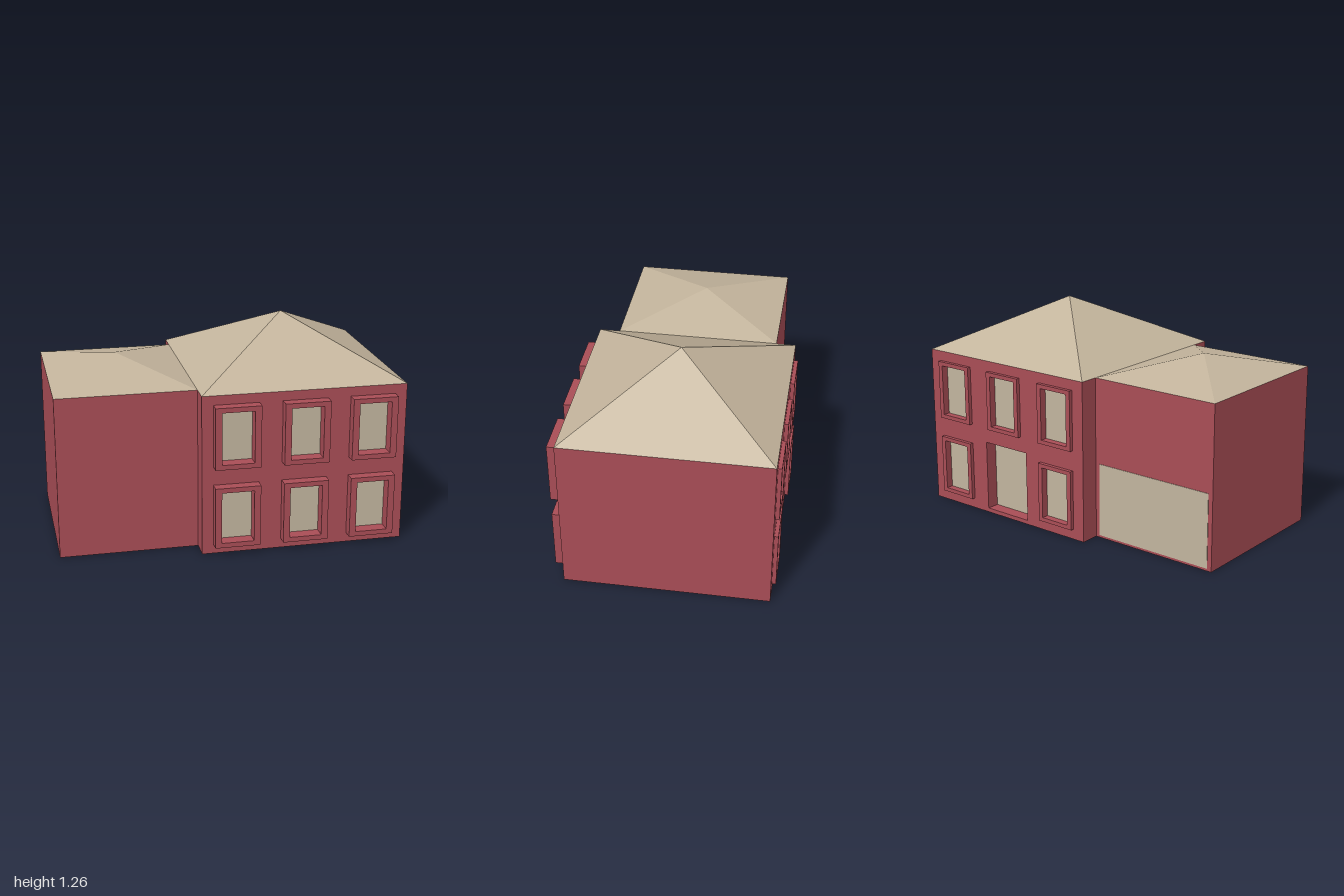
import * as THREE from 'three';

export function createModel() {
  const house = new THREE.Group();
  house.name = 'house';

  const material = (name, color) => {
    const m = new THREE.MeshStandardMaterial({ color });
    m.name = name;
    return m;
  };
  const wallRed = material('wall red', 0xa94d56);
  const roofTan = material('roof tan', 0xc3b49c);
  const paneBeige = material('pane beige', 0xc2b59e);

  const add = (name, geometry, mat) => {
    const mesh = new THREE.Mesh(geometry, mat);
    mesh.name = name;
    house.add(mesh);
    return mesh;
  };

  // Box given by its limits on each axis
  const box = (name, mat, x0, x1, y0, y1, z0, z1) => {
    const g = new THREE.BoxGeometry(x1 - x0, y1 - y0, z1 - z0);
    g.translate((x0 + x1) / 2, (y0 + y1) / 2, (z0 + z1) / 2);
    return add(name, g, mat);
  };

  // Upright slab with rectangular holes; rectangles are [x0, x1, y0, y1]
  const corners = ([x0, x1, y0, y1]) =>
    [[x0, y0], [x1, y0], [x1, y1], [x0, y1]].map(([x, y]) => new THREE.Vector2(x, y));
  const slab = (name, outer, holes, z0, z1) => {
    const shape = new THREE.Shape(corners(outer));
    for (const h of holes) shape.holes.push(new THREE.Path(corners(h).reverse()));
    const g = new THREE.ExtrudeGeometry(shape, { depth: z1 - z0, bevelEnabled: false });
    g.translate(0, 0, z0);
    return add(name, g, wallRed);
  };

  // Four-sided roof over a rectangle
  const roof = (name, x0, x1, z0, z1, y0, y1) => {
    let g = new THREE.ConeGeometry(Math.SQRT1_2, 1, 4, 1, true);
    g.rotateY(Math.PI / 4);
    g.scale(x1 - x0, y1 - y0, z1 - z0);
    g.translate((x0 + x1) / 2, (y0 + y1) / 2, (z0 + z1) / 2);
    g = g.toNonIndexed();
    g.computeVertexNormals();
    add(name, g, roofTan);
  };

  const eaves = 0.955;
  const left = 1, right = -0.195, front = 0.575, back = -0.615;
  const frontPane = 0.56, backPane = -0.595, doorPane = -0.535;

  // Main block core, and the side wing
  box('mainBlock', wallRed, right, left, 0, eaves, doorPane, frontPane);
  box('sideWing', wallRed, -1, right, 0, eaves, -0.5, 0.455);
  roof('mainRoof', right, left, back, front, eaves, 1.265);
  roof('wingRoof', -1, right, -0.5, 0.455, eaves, 1.065);

  // Windows: three columns and two rows on each face, a door in the back middle
  const door = [0.24, 0.56, 0.025, 0.447];
  const frontHoles = [], backHoles = [door];
  for (const x of [0.003, 0.402, 0.798]) {
    for (const y of [0.24, 0.717]) {
      const opening = [x - 0.094, x + 0.094, y - 0.154, y + 0.154];
      const [x0, x1, y0, y1] = opening;

      frontHoles.push(opening);
      slab('frontWindowFrame', [x - 0.132, x + 0.132, y - 0.183, y + 0.183], [opening], front, 0.637);
      box('frontWindowPane', paneBeige, x0, x1, y0, y1, frontPane - 0.002, frontPane + 0.002);

      if (x === 0.402 && y < 0.5) continue;
      backHoles.push(opening);
      slab('backWindowFrame', [x - 0.123, x + 0.123, y - 0.178, y + 0.178], [opening], -0.638, back);
      box('backWindowPane', paneBeige, x0, x1, y0, y1, backPane, backPane + 0.005);
    }
  }

  // Pierced front and back walls
  const face = [right, left, 0, eaves];
  slab('frontWall', face, frontHoles, frontPane, front);
  slab('backWall', face, backHoles, back, doorPane);

  // Recessed back door and wide garage door
  box('backDoor', paneBeige, ...door, doorPane - 0.004, doorPane);
  box('garageDoor', paneBeige, -0.973, -0.222, 0.015, 0.45, -0.503, -0.499);

  return house;
}
